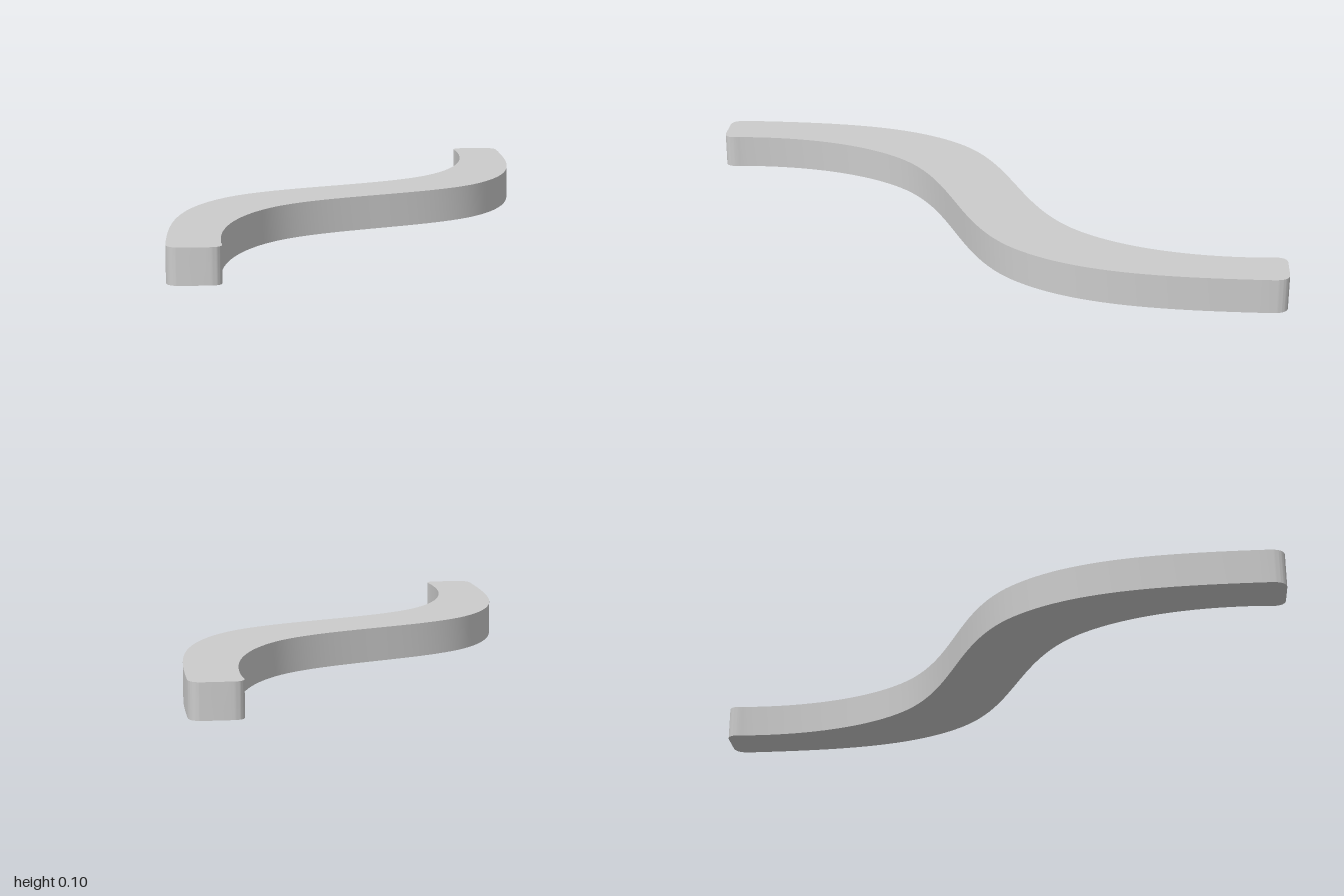
import * as THREE from 'three';
import { toCreasedNormals } from 'three/addons/utils/BufferGeometryUtils.js';

export function createModel() {
  const group = new THREE.Group();
  group.name = 'curvedHandle';

  // S-shaped outline: one long edge and one rounded end, repeated after a half turn
  const outline = new THREE.Shape();
  outline.moveTo(-0.98, -0.10);
  for (const s of [1, -1]) {
    const bend = (...p) => outline.bezierCurveTo(...p.map((v) => v * s));
    bend(-0.74, 0.10, -0.55, 0.232, -0.33, 0.232); // rise to the crest
    bend(-0.09, 0.232, 0.14, -0.017, 0.385, -0.017); // down through the middle
    bend(0.56, -0.017, 0.74, 0.075, 0.885, 0.208); // up to the tip
    bend(0.903, 0.229, 0.925, 0.247, 0.95, 0.21); // rounded tip
    outline.lineTo(0.99 * s, 0.16 * s);
    outline.quadraticCurveTo(1.015 * s, 0.13 * s, 0.98 * s, 0.10 * s); // outer corner
  }

  // Lay the extruded bar flat on the ground
  const flat = new THREE.ExtrudeGeometry(outline, { depth: 0.1, bevelEnabled: false, curveSegments: 24 });
  flat.rotateX(-Math.PI / 2);

  const bar = new THREE.Mesh(
    toCreasedNormals(flat, 0.7),
    new THREE.MeshStandardMaterial({ color: 0xcccccc })
  );
  bar.name = 'wavyBar';
  group.add(bar);
  return group;
}
